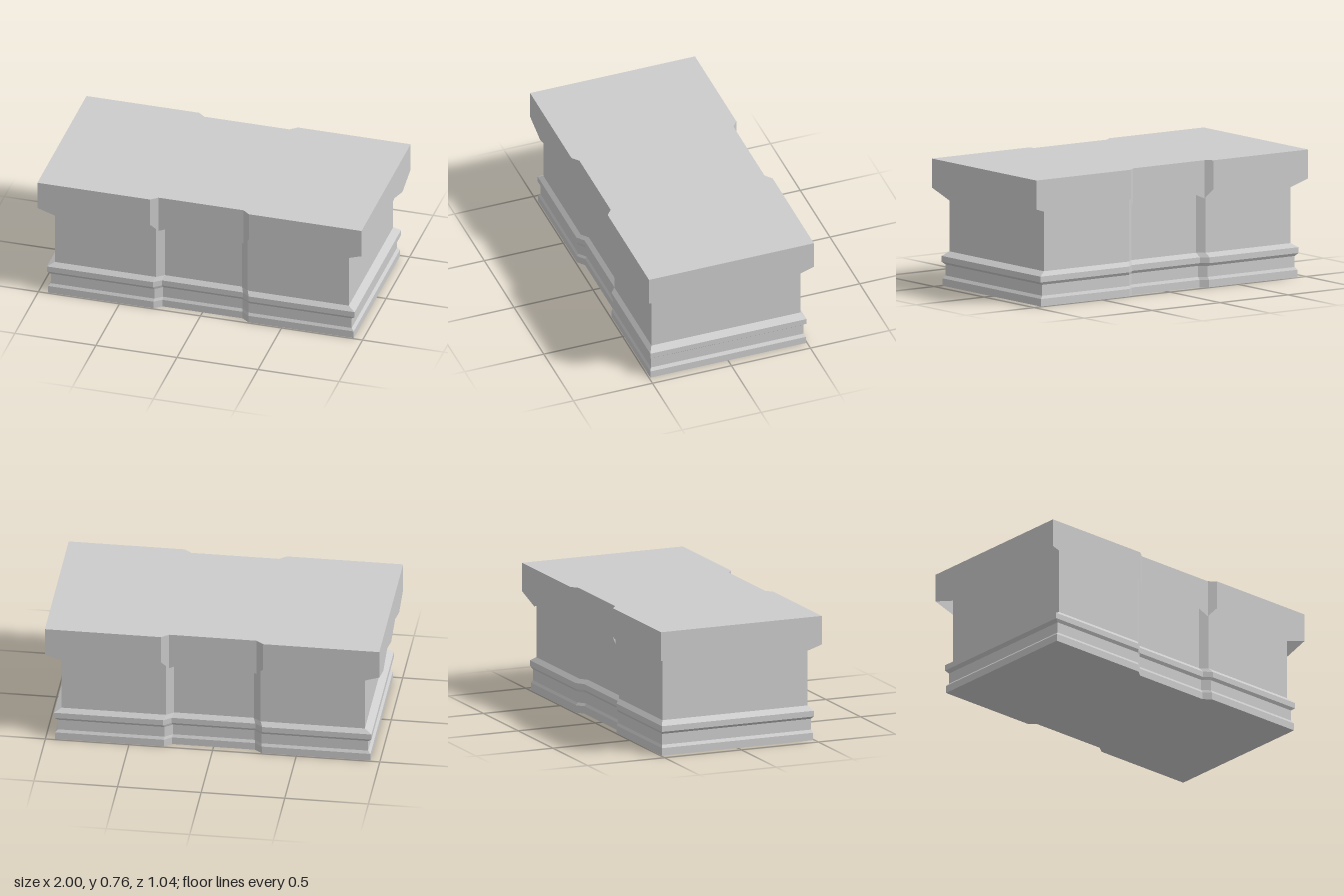
import * as THREE from 'three';

// Plan outline: a rectangle with a shallow recess in the middle of front and back.
// x, z: half sizes; a, b: outer and inner half widths of the recess; d: its depth.
function outline(x, z, a, b, d) {
  const half = [[-x, z], [-a, z], [-b, z - d], [b, z - d], [a, z], [x, z]];
  return [...half, ...half.map(([px, pz]) => [-px, -pz])];
}

// Flat-shaded geometry from a list of triangles
function fromTriangles(tris) {
  const geo = new THREE.BufferGeometry();
  geo.setAttribute('position', new THREE.Float32BufferAttribute(tris.flat(2), 3));
  geo.computeVertexNormals();
  return geo;
}

// Wall between two rings with the same number of points
function wall(lower, upper) {
  const tris = [];
  lower.forEach((p, i) => {
    const j = (i + 1) % lower.length;
    tris.push([p, lower[j], upper[j]], [p, upper[j], upper[i]]);
  });
  return tris;
}

// Flat cap over a ring
function cap(ring, up) {
  const contour = ring.map(([x, , z]) => new THREE.Vector2(x, -z));
  return THREE.ShapeUtils.triangulateShape(contour, []).map(([a, b, c]) =>
    up ? [ring[a], ring[b], ring[c]] : [ring[a], ring[c], ring[b]]);
}

export function createModel() {
  const group = new THREE.Group();
  const stone = new THREE.MeshStandardMaterial({ color: 0xcccccc, side: THREE.DoubleSide });
  stone.name = 'pale grey';
  const add = (name, tris) => {
    const mesh = new THREE.Mesh(fromTriangles(tris), stone);
    mesh.name = name;
    group.add(mesh);
  };

  // Rings of the block: y, half width, half depth, recess outer and inner
  const rings = [
    [0, 0.943, 0.492, 0.293, 0.248],
    [0.045, 0.943, 0.492, 0.293, 0.248],
    [0.062, 0.928, 0.483, 0.29, 0.245],
    [0.128, 0.928, 0.483, 0.29, 0.245],
    [0.145, 0.949, 0.494, 0.296, 0.25],
    [0.18, 0.949, 0.494, 0.296, 0.25],
    [0.206, 0.907, 0.472, 0.283, 0.238],
    [0.755, 0.907, 0.472, 0.283, 0.238],
  ].map(([y, x, z, a, b]) => outline(x, z, a, b, 0.035).map(([px, pz]) => [px, y, pz]));

  // Stepped plinth, then the plain body above it
  const plinth = cap(rings[0], false);
  for (let i = 0; i < 6; i++) plinth.push(...wall(rings[i], rings[i + 1]));
  add('plinth', plinth);
  add('body', [...wall(rings[6], rings[7]), ...cap(rings[7], true)]);

  // Cloth: flat top and a hanging skirt whose hem alternates high and low
  const topY = 0.765;
  const plan = outline(1, 0.522, 0.305, 0.262, 0.035);
  const teeth = [4, 1, 4, 1, 4, 6];
  const edge = [];
  plan.forEach(([x, z], i) => {
    const [nx, nz] = plan[(i + 1) % plan.length];
    const n = teeth[i % 6];
    for (let k = 0; k < n; k++) edge.push([x + (nx - x) * k / n, z + (nz - z) * k / n]);
  });
  const hem = edge.map(([x, z], i) => [x, i % 2 ? 0.536 : 0.591, z]);
  const rim = edge.map(([x, z]) => [x, topY, z]);
  add('clothSkirt', wall(hem, rim));
  add('clothTop', cap(plan.map(([x, z]) => [x, topY, z]), true));

  return group;
}
